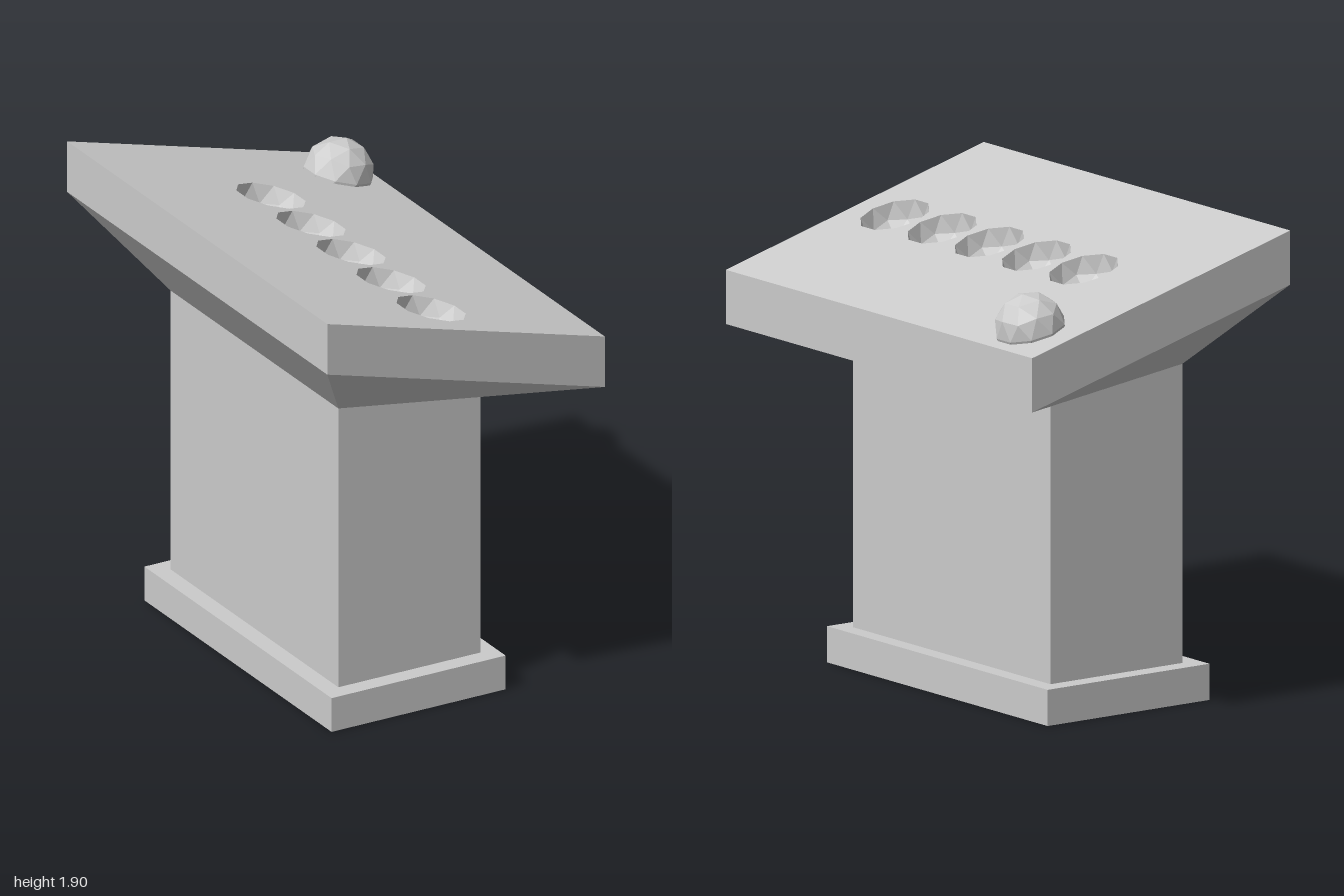
import * as THREE from 'three';

const material = new THREE.MeshStandardMaterial({ color: 0xcccccc, flatShading: true });

// Sloping top plane of the desk
const X = 0.63, HIGH = 1.905, LOW = 1.56, THICK = 0.217;
const topY = x => THREE.MathUtils.mapLinear(x, -X, X, HIGH, LOW);
const tilt = Math.atan((HIGH - LOW) / (2 * X));
const R = 0.143;

function addMesh(group, name, geometry) {
  const mesh = new THREE.Mesh(geometry, material);
  mesh.name = name;
  group.add(mesh);
  return mesh;
}

function addBox(group, name, x0, x1, y0, y1, halfZ) {
  const box = addMesh(group, name, new THREE.BoxGeometry(x1 - x0, y1 - y0, halfZ * 2));
  box.position.set((x0 + x1) / 2, (y0 + y1) / 2, 0);
}

// Four corners of a rectangular section; height is a rule of x
function ring(x0, x1, halfZ, height) {
  return [[x0, halfZ], [x1, halfZ], [x1, -halfZ], [x0, -halfZ]]
    .map(([x, z]) => [x, height(x), z]);
}

// Walls joining a lower and an upper section
function walls(lower, upper) {
  const points = [];
  for (let i = 0; i < 4; i++) {
    const j = (i + 1) % 4;
    const [a, b, c, d] = [lower[i], lower[j], upper[j], upper[i]];
    // The back wall is split as a mirror image of the front one
    if (i === 2) points.push(a, b, d, b, c, d);
    else points.push(a, b, c, a, c, d);
  }
  const geometry = new THREE.BufferGeometry();
  geometry.setAttribute('position', new THREE.Float32BufferAttribute(points.flat(), 3));
  geometry.computeVertexNormals();
  return geometry;
}

// Faceted ball with a corner pointing straight up
function ballGeometry() {
  return new THREE.IcosahedronGeometry(R, 1).rotateZ(Math.atan(2 / (1 + Math.sqrt(5))));
}

// Upper half of the ball mirrored downward, so its faces look inward
function dentGeometry() {
  const p = ballGeometry().attributes.position.array;
  const kept = [];
  for (let i = 0; i < p.length; i += 9) {
    if (p[i + 1] + p[i + 4] + p[i + 7] > 0) kept.push(...p.slice(i, i + 9));
  }
  const geometry = new THREE.BufferGeometry();
  geometry.setAttribute('position', new THREE.Float32BufferAttribute(kept, 3));
  geometry.scale(1, -1, 1);
  geometry.computeVertexNormals();
  return geometry;
}

// Flat top with ten-sided openings, sheared onto the slope
function topGeometry(dentX, dentZs) {
  const shape = new THREE.Shape([[-X, -1], [X, -1], [X, 1], [-X, 1]]
    .map(([x, y]) => new THREE.Vector2(x, y)));
  for (const z of dentZs) {
    const rim = [];
    for (let k = 0; k < 10; k++) {
      const a = (18 + 36 * k) * Math.PI / 180;
      rim.push(new THREE.Vector2(dentX + R * Math.cos(a) * Math.cos(tilt), -z + R * Math.sin(a)));
    }
    shape.holes.push(new THREE.Path(rim));
  }
  const geometry = new THREE.ShapeGeometry(shape).rotateX(-Math.PI / 2);
  const pos = geometry.attributes.position;
  for (let i = 0; i < pos.count; i++) pos.setY(i, topY(pos.getX(i)));
  geometry.computeVertexNormals();
  return geometry;
}

export function createModel() {
  const model = new THREE.Group();
  model.name = 'lectern';

  // Foot and column
  addBox(model, 'base', -0.445, 0.345, 0, 0.145, 0.72);
  addBox(model, 'column', -0.37, 0.275, 0.145, 1.343, 0.645);

  // Sloping desk: rim, flaring underside and pierced top
  const upper = ring(-X, X, 1, topY);
  const lower = ring(-X, X, 1, x => topY(x) - THICK);
  const neck = ring(-0.37, 0.275, 0.645, () => LOW - THICK);
  const desk = new THREE.Group();
  desk.name = 'desk';
  model.add(desk);
  addMesh(desk, 'deskRim', walls(lower, upper));
  addMesh(desk, 'deskUnderside', walls(neck, lower));

  const dentX = -0.017;
  const dentZs = [-2, -1, 0, 1, 2].map(i => 0.145 + i * 0.308);
  addMesh(desk, 'deskTop', topGeometry(dentX, dentZs));

  // Row of hollow dents
  for (const z of dentZs) {
    const dent = addMesh(desk, 'dent', dentGeometry());
    dent.position.set(dentX, topY(dentX), z);
    dent.rotation.z = -tilt;
  }

  // Ball half sunk into the back corner
  const ball = addMesh(desk, 'ball', ballGeometry());
  ball.position.set(0.457, topY(0.457) + 0.01, -0.757);
  ball.rotation.z = -tilt;

  return model;
}
